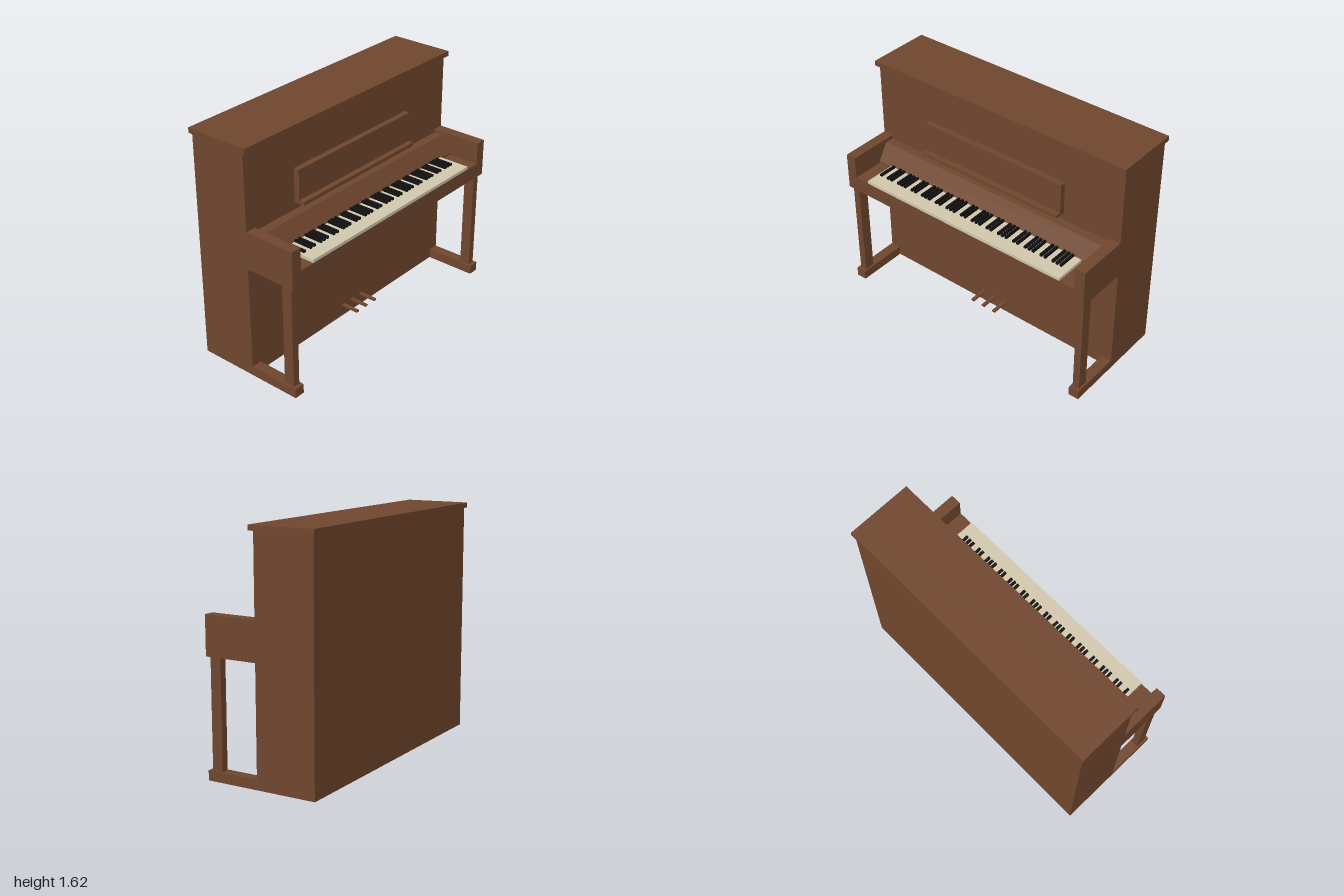
import * as THREE from 'three';

const material = (name, color) => {
  const m = new THREE.MeshStandardMaterial({ color });
  m.name = name;
  return m;
};

export function createModel() {
  const wood = material('brown wood', 0x6f462d);
  const ivory = material('ivory', 0xd0c6ac);
  const ebony = material('ebony', 0x101010);

  const piano = new THREE.Group();
  piano.name = 'uprightPiano';

  // Adds a box given by its minimum and maximum along each axis
  const box = (name, mat, [x0, x1], [y0, y1], [z0, z1], parent = piano) => {
    const mesh = new THREE.Mesh(new THREE.BoxGeometry(x1 - x0, y1 - y0, z1 - z0), mat);
    mesh.position.set((x0 + x1) / 2, (y0 + y1) / 2, (z0 + z1) / 2);
    mesh.name = name;
    parent.add(mesh);
    return mesh;
  };

  // Case and lid
  box('case', wood, [-0.985, 0.985], [0, 1.585], [-0.385, 0.032]);
  box('lid', wood, [-1, 1], [1.585, 1.62], [-0.4, 0.06]);

  // Music desk: panel and ledge
  box('musicDesk', wood, [-0.555, 0.555], [1.105, 1.316], [0.032, 0.072]);
  box('musicLedge', wood, [-0.555, 0.555], [1.08, 1.105], [0.032, 0.11]);

  // Key bed
  box('keyBed', wood, [-0.91, 0.91], [0.793, 0.898], [0.032, 0.4]);

  // Fallboard with a sloping front, profile drawn in (z, y) and extruded along x
  const profile = new THREE.Shape([
    new THREE.Vector2(-0.032, 0.898),
    new THREE.Vector2(-0.032, 1.03),
    new THREE.Vector2(-0.095, 1.03),
    new THREE.Vector2(-0.172, 0.912),
    new THREE.Vector2(-0.172, 0.898),
  ]);
  const fallGeometry = new THREE.ExtrudeGeometry(profile, { depth: 1.82, bevelEnabled: false });
  fallGeometry.translate(0, 0, -0.91).rotateY(Math.PI / 2);
  const fallboard = new THREE.Mesh(fallGeometry, wood);
  fallboard.name = 'fallboard';
  piano.add(fallboard);

  // Keyboard: one ivory slab, with black keys over the seams of 52 white keys
  const keyboard = new THREE.Group();
  keyboard.name = 'keyboard';
  piano.add(keyboard);
  box('whiteKeys', ivory, [-0.8, 0.8], [0.898, 0.92], [0.172, 0.4], keyboard);
  const pitch = 1.6 / 52;
  for (let seam = 1; seam < 52; seam++) {
    // Counted from A, there is no black key after B or E
    if ([2, 5].includes(seam % 7)) continue;
    const x = -0.8 + seam * pitch;
    box('blackKey', ebony, [x - 0.0085, x + 0.0085], [0.92, 0.936], [0.172, 0.305], keyboard);
  }

  // Arms, legs and feet on both sides
  for (const [side, s] of [['left', 1], ['right', -1]]) {
    const span = (a, b) => (s > 0 ? [a, b] : [-b, -a]);
    box(side + 'Arm', wood, span(0.91, 0.985), [0.793, 1.055], [0.032, 0.4]);
    box(side + 'Leg', wood, span(0.922, 0.972), [0.066, 0.793], [0.3, 0.375]);
    box(side + 'Foot', wood, span(0.91, 0.985), [0, 0.066], [0.032, 0.4]);
  }

  // Pedals
  for (const x of [-0.093, 0, 0.093]) {
    box('pedal', wood, [x - 0.0125, x + 0.0125], [0.081, 0.092], [0.032, 0.165]);
  }

  return piano;
}
